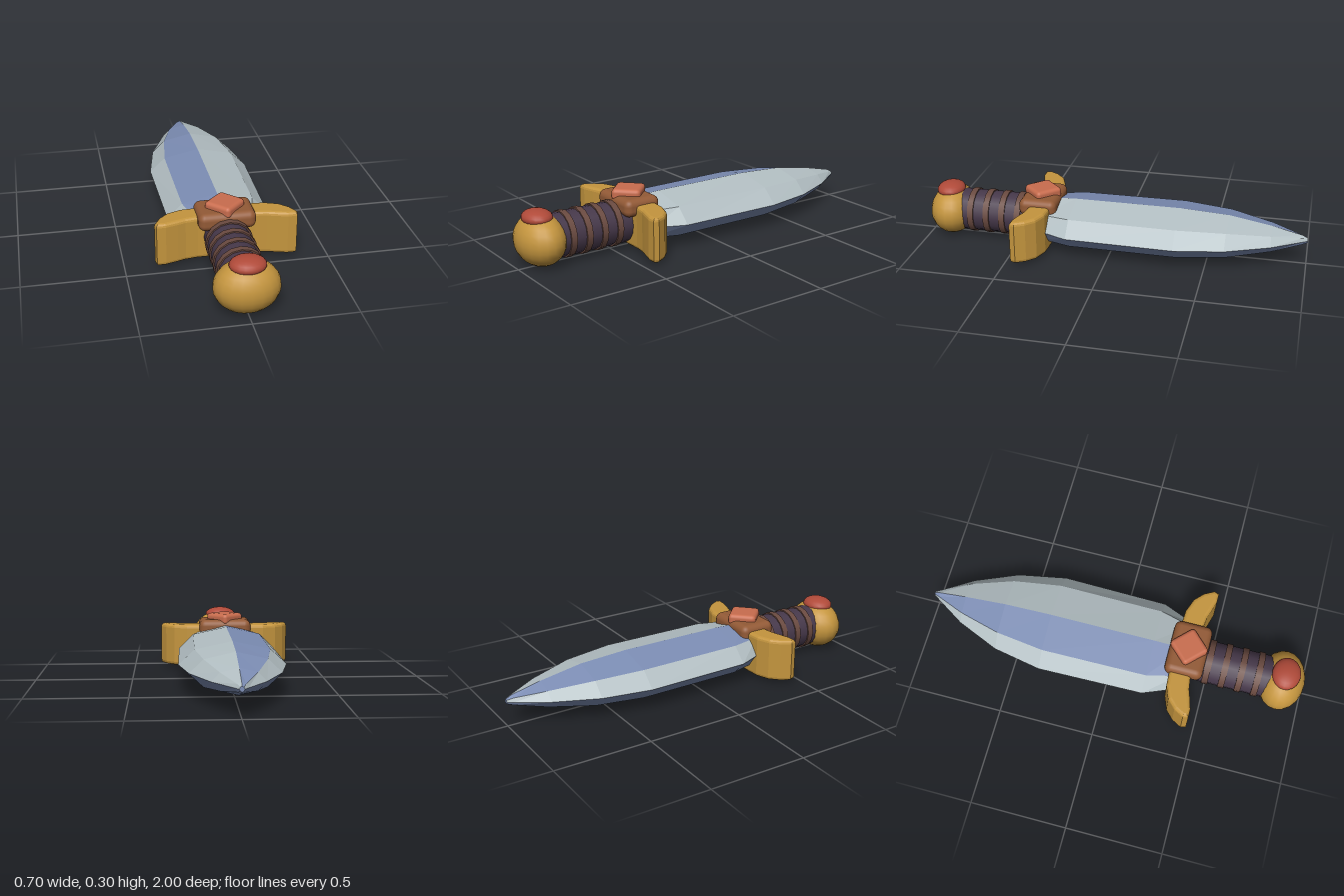
import * as THREE from 'three';
import { RoundedBoxGeometry } from 'three/addons/geometries/RoundedBoxGeometry.js';

const paint = (name, color, flatShading = false) => {
  const m = new THREE.MeshStandardMaterial({ color, flatShading });
  m.name = name;
  return m;
};

const AXIS = 0.134; // height of the weapon's long axis

// Faceted blade lofted from eight-point sections; group 0 is steel, group 1 is blue steel
function bladeGeometry() {
  // z, edge half width, shoulder half width, shoulder height, ridge height
  const sections = [
    [0.36, 0.19, 0.14, 0.07, 0.108],
    [0.2, 0.255, 0.18, 0.075, 0.114],
    [-0.35, 0.265, 0.185, 0.075, 0.114],
    [-0.6, 0.218, 0.15, 0.066, 0.1],
    [-0.82, 0.125, 0.085, 0.042, 0.062],
    [-0.97, 0.03, 0.02, 0.018, 0.027],
    [-1.0, 0.012, 0.008, 0.009, 0.013],
  ].map(([z, w, s, m, t]) => [
    [w, 0], [s, m], [0, t], [-s, m], [-w, 0], [-s, -m], [0, -t], [s, -m],
  ].map(([x, y]) => [x, AXIS + y, z]));
  const lists = [[], []];
  for (let k = 0; k < 8; k++) {
    const n = (k + 1) % 8;
    const list = lists[k === 2 || k > 3 ? 1 : 0];
    for (let j = 0; j < sections.length - 1; j++) {
      const a = sections[j], b = sections[j + 1];
      list.push(a[k], b[k], b[n], a[k], b[n], a[n]);
    }
  }
  // End caps
  const first = sections[0], last = sections[sections.length - 1];
  for (let k = 1; k < 7; k++) {
    lists[1].push(first[0], first[k], first[k + 1]);
    lists[1].push(last[0], last[k + 1], last[k]);
  }
  const g = new THREE.BufferGeometry();
  g.setAttribute('position', new THREE.Float32BufferAttribute(lists.flat(2), 3));
  g.addGroup(0, lists[0].length, 0);
  g.addGroup(lists[0].length, lists[1].length, 1);
  g.computeVertexNormals();
  return g;
}

// Swept crossguard: plan outline mirrored across x, extruded upward with rounded rims
function guardGeometry() {
  const half = [
    [0.14, 0.312], [0.21, 0.316], [0.28, 0.342], [0.325, 0.385], [0.352, 0.435],
    [0.345, 0.462], [0.3, 0.462], [0.24, 0.445], [0.2, 0.432], [0.14, 0.424],
  ];
  const outline = [...half, ...half.map(([x, z]) => [-x, z]).reverse()];
  const shape = new THREE.Shape(outline.map(([x, z]) => new THREE.Vector2(x, -z)));
  const bevel = 0.018;
  const g = new THREE.ExtrudeGeometry(shape, {
    depth: 0.226 - 2 * bevel, bevelThickness: bevel, bevelSize: bevel,
    bevelOffset: -bevel, bevelSegments: 3,
  });
  g.rotateX(-Math.PI / 2);
  g.translate(0, 0.018 + bevel, 0);
  return g;
}

export function createModel() {
  const model = new THREE.Group();
  model.name = 'dagger';
  const steel = paint('steel', 0xb3bfc3, true);
  const blueSteel = paint('blueSteel', 0x7c8db4, true);
  const gold = paint('gold', 0xc4953e);
  const brown = paint('brownMount', 0x935a36);
  const orange = paint('orangeGem', 0xc96d4e);
  const red = paint('redGem', 0xb04a39);
  const leather = paint('darkLeather', 0x46384a);
  const strap = paint('strap', 0x6a4a40);

  const add = (name, geometry, material, x = 0, y = 0, z = 0) => {
    const mesh = new THREE.Mesh(geometry, material);
    mesh.name = name;
    mesh.position.set(x, y, z);
    model.add(mesh);
    return mesh;
  };

  add('blade', bladeGeometry(), [steel, blueSteel]);
  add('crossguard', guardGeometry(), gold);

  // Mount and diamond gem on top of the guard
  add('gemMount', new RoundedBoxGeometry(0.282, 0.09, 0.196, 3, 0.034), brown, 0, 0.229, 0.38);
  const gem = add('guardGem', new RoundedBoxGeometry(0.147, 0.06, 0.147, 2, 0.02), orange, 0, 0.275, 0.38);
  gem.rotation.y = Math.PI / 4;

  // Grip with raised straps
  const tube = (r, length) => new THREE.CylinderGeometry(r, r, length, 16).rotateX(Math.PI / 2);
  add('grip', tube(0.11, 0.44), leather, 0, AXIS, 0.62);
  for (let i = 0; i < 4; i++) {
    add('gripStrap', tube(0.117, 0.032), strap, 0, AXIS, 0.497 + i * 0.086);
  }

  // Pommel with an oval cabochon
  add('pommel', new THREE.SphereGeometry(1, 20, 14).scale(0.157, 0.129, 0.12), gold, 0, 0.132, 0.88);
  add('pommelGem', new THREE.SphereGeometry(1, 20, 12).scale(0.086, 0.04, 0.073), red, 0, 0.245, 0.89);
  return model;
}
